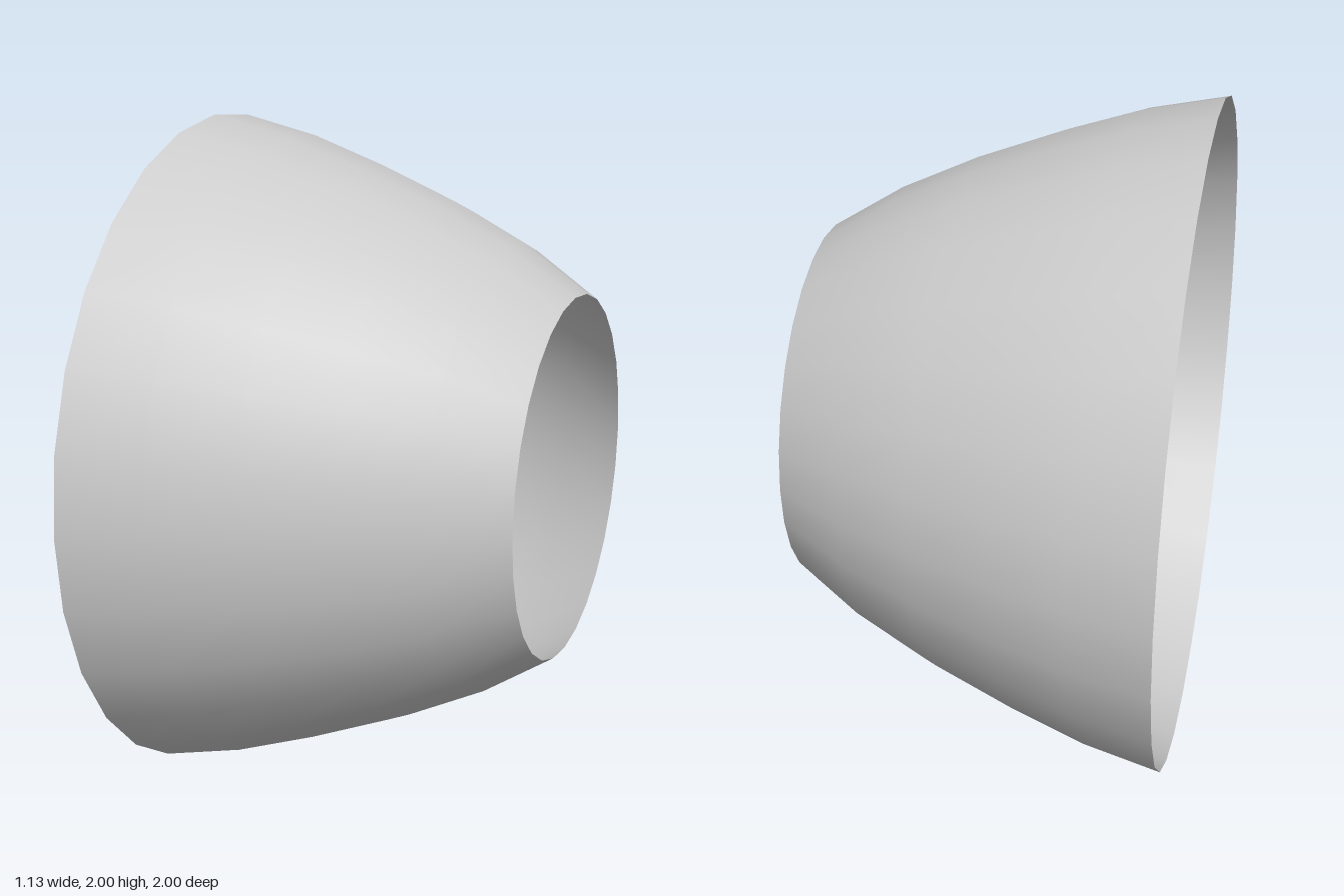
import * as THREE from 'three';

const SIDES = 28;

// Shell profile: [radius, position along the x axis], wide rim to narrow rim
const PROFILE = [
  [1.0, -0.565],
  [0.948, -0.33],
  [0.87, -0.1],
  [0.778, 0.135],
  [0.67, 0.36],
  [0.538, 0.565],
];

export function createModel() {
  const group = new THREE.Group();
  group.name = 'openShade';

  // Thin curved shell, open at both ends, with its axis laid along x
  const points = PROFILE.map(([r, x]) => new THREE.Vector2(r, x));
  const geometry = new THREE.LatheGeometry(points, SIDES);
  geometry.rotateZ(-Math.PI / 2);
  geometry.translate(0, 1, 0);

  const material = new THREE.MeshStandardMaterial({ color: 0xcccccc, side: THREE.DoubleSide });
  const shell = new THREE.Mesh(geometry, material);
  shell.name = 'shell';
  group.add(shell);

  return group;
}
